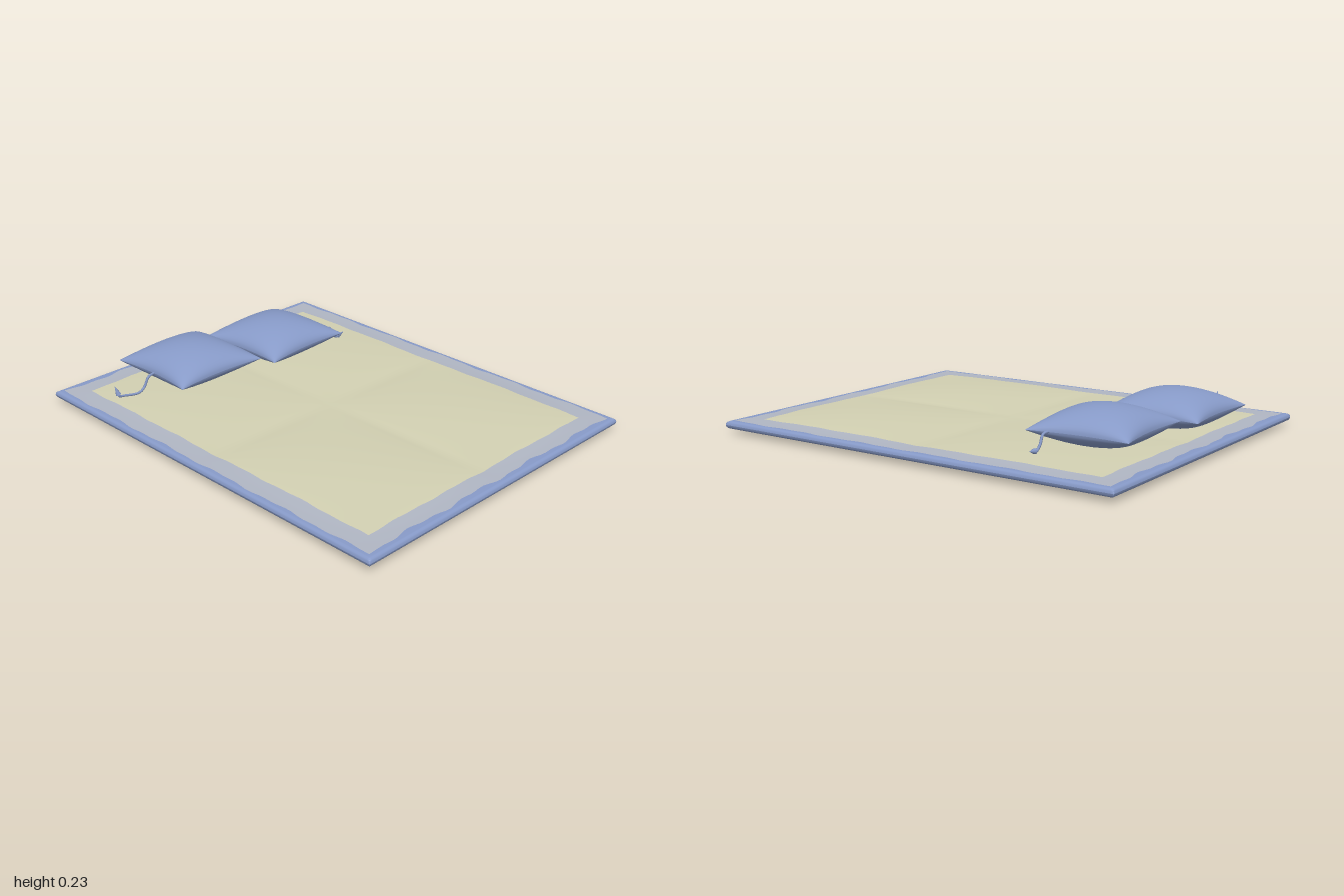
import * as THREE from 'three';

const mat = (name, color) => {
  const m = new THREE.MeshStandardMaterial({ color, side: THREE.DoubleSide });
  m.name = name;
  return m;
};

// Grid surface facing up (or down when flipped); zone(i, j) picks a material per cell
function gridSurface(nx, nz, point, flip = false, zone = () => 0) {
  const pos = [], cells = [[], [], []];
  for (let i = 0; i <= nx; i++) for (let j = 0; j <= nz; j++) pos.push(...point(i, j));
  for (let i = 0; i < nx; i++) for (let j = 0; j < nz; j++) {
    const a = i * (nz + 1) + j, b = a + 1, d = a + nz + 1, c = d + 1;
    cells[zone(i, j)].push(...(flip ? [a, c, b, a, d, c] : [a, b, c, a, c, d]));
  }
  const geo = new THREE.BufferGeometry();
  geo.setAttribute('position', new THREE.Float32BufferAttribute(pos, 3));
  geo.setIndex(cells.flat());
  let start = 0;
  cells.forEach((c, k) => {
    if (c.length) geo.addGroup(start, c.length, k);
    start += c.length;
  });
  geo.computeVertexNormals();
  return geo;
}

// Quilted mat dimensions
const HX = 0.8, HZ = 1, RIM = 0.018, MID = 0.042;

// Mirrored grid lines: even steps, the two colour borders, then the rounded rim
function gridLines(half, inner, outer) {
  const n = 24, side = [];
  for (let i = 1; i <= n; i++) side.push((inner * i) / n);
  side.push((inner + outer) / 2, outer);
  for (const d of [RIM, 0.012, 0.006, 0.002, 0]) side.push(half - d);
  return [...side.map(v => -v).reverse(), 0, ...side];
}

const wave = (t, k) => Math.sin(t * 17 + k) * 0.6 + Math.sin(t * 41 + k * 2) * 0.4;

function quilt(materials) {
  const inX = 0.682, inZ = 0.88, outX = 0.771, outZ = 0.962;
  const xs = gridLines(HX, inX, outX), zs = gridLines(HZ, inZ, outZ);

  // Slightly uneven colour borders
  const warp = (v, other, inner, outer) => {
    if (Math.abs(v) === inner) return v + wave(other, v) * 0.004;
    if (Math.abs(v) === outer) return v + wave(other, v) * (outer === outX ? 0.007 : 0.012);
    return v;
  };
  const bulge = (v, half) => Math.pow(Math.max(0, Math.sin(Math.PI * Math.min(1, Math.abs(v) / half))), 0.75);

  const point = sign => (i, j) => {
    const x = warp(xs[i], zs[j], inX, outX), z = warp(zs[j], xs[i], inZ, outZ);
    const d = Math.min(HX - Math.abs(x), HZ - Math.abs(z), RIM);
    const r = Math.max(0, 1 - d / RIM);
    const puff = bulge(x, 0.72) * bulge(z, 0.92);
    const half = RIM * Math.sqrt(Math.max(0, 1 - r * r)) + 0.017 * puff;
    const lift = (z > 0 ? 0.002 : -0.004) * puff;
    return [x, MID + lift + sign * half, z];
  };

  const zone = (i, j) => {
    const x = Math.abs(xs[i] + xs[i + 1]) / 2, z = Math.abs(zs[j] + zs[j + 1]) / 2;
    if (x > outX || z > outZ) return 2;
    return x > inX || z > inZ ? 1 : 0;
  };

  const group = new THREE.Group();
  group.name = 'quiltedMat';
  for (const sign of [1, -1]) {
    const geo = gridSurface(xs.length - 1, zs.length - 1, point(sign), sign < 0, zone);
    const mesh = new THREE.Mesh(geo, materials);
    mesh.name = sign > 0 ? 'matTop' : 'matUnderside';
    group.add(mesh);
  }
  return group;
}

// Cushion from four corners (back left, back right, front right, front left), sides drawn in
function cushion(name, corners, material) {
  const N = 28, seam = 0.142, pull = 0.055;
  const point = sign => (i, j) => {
    const u = Math.sin((i / N - 0.5) * Math.PI), v = Math.sin((j / N - 0.5) * Math.PI);
    const pu = u * (1 - pull * 1.7 * (1 - v * v)), pv = v * (1 - pull * 1.7 * (1 - u * u));
    const s = (pu + 1) / 2, t = (pv + 1) / 2;
    const w = [(1 - s) * (1 - t), s * (1 - t), s * t, (1 - s) * t];
    const x = corners.reduce((sum, c, k) => sum + c[0] * w[k], 0);
    const z = corners.reduce((sum, c, k) => sum + c[1] * w[k], 0);
    const full = Math.pow(Math.max(0, (1 - u * u) * (1 - v * v)), 0.5);
    return [x, seam + sign * full * (sign > 0 ? 0.093 : 0.078), z];
  };
  const group = new THREE.Group();
  group.name = name;
  for (const sign of [1, -1]) {
    const mesh = new THREE.Mesh(gridSurface(N, N, point(sign), sign < 0), material);
    mesh.name = sign > 0 ? 'cushionTop' : 'cushionBottom';
    group.add(mesh);
  }
  return group;
}

// Thin cord ending in a small tassel
function cord(name, points, material) {
  const path = points.map(p => new THREE.Vector3(...p));
  const curve = new THREE.CatmullRomCurve3(path);
  const group = new THREE.Group();
  group.name = name;
  const line = new THREE.Mesh(new THREE.TubeGeometry(curve, 32, 0.006, 6), material);
  line.name = 'cordLine';
  const tassel = new THREE.Mesh(new THREE.ConeGeometry(0.013, 0.045, 8), material);
  tassel.name = 'tassel';
  tassel.position.copy(path[path.length - 1]);
  tassel.quaternion.setFromUnitVectors(new THREE.Vector3(0, 1, 0), curve.getTangent(1));
  group.add(line, tassel);
  return group;
}

export function createModel() {
  const cream = mat('cream', 0xd2d0b2);
  const grey = mat('paleGreyBlue', 0xb0b6c3);
  const blue = mat('blue', 0x879ac8);

  const model = new THREE.Group();
  model.name = 'matWithCushions';
  model.add(
    quilt([cream, grey, blue]),
    cushion('rightCushion', [[-0.487, -0.918], [-0.008, -0.925], [0, -0.458], [-0.482, -0.455]], blue),
    cushion('leftCushion', [[-0.018, -0.843], [0.461, -0.866], [0.485, -0.4], [0.008, -0.375]], blue),
    cord('rightCord', [[-0.45, 0.142, -0.69], [-0.5, 0.138, -0.68], [-0.525, 0.095, -0.682],
      [-0.56, 0.08, -0.676], [-0.64, 0.09, -0.682], [-0.668, 0.098, -0.68], [-0.677, 0.128, -0.685]], blue),
    cord('leftCord', [[0.44, 0.142, -0.5], [0.495, 0.138, -0.495], [0.52, 0.1, -0.497],
      [0.54, 0.078, -0.494], [0.575, 0.084, -0.496]], blue),
  );
  return model;
}
